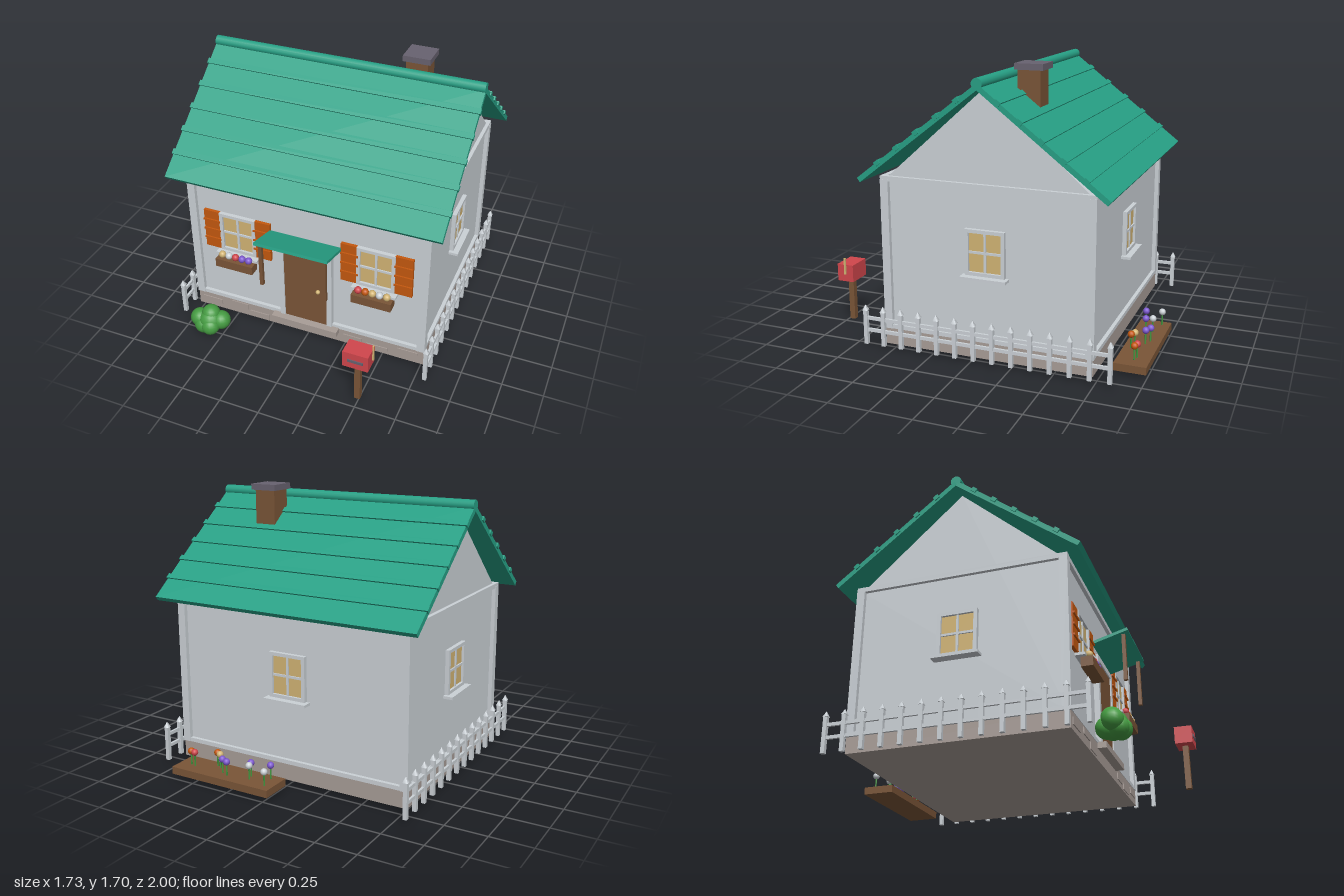
import * as THREE from 'three';

const mat = (name, color) => new THREE.MeshStandardMaterial({ name, color });

export function createModel() {
  const white = mat('white', 0xcbd1d6), teal = mat('teal', 0x27a085), brown = mat('brown', 0x7a5537),
    orange = mat('orange', 0xc4580f), tan = mat('tan', 0xd2b474), red = mat('red', 0xd0464c),
    purple = mat('purple', 0x7d58d0), green = mat('green', 0x459c42), stone = mat('stone', 0xa89d97),
    slate = mat('slate', 0x686270);

  const house = new THREE.Group();
  house.name = 'cottage';
  const MID = -0.09; // z of the ridge and of the house's middle

  const add = (parent, name, geo, m, x = 0, y = 0, z = 0) => {
    const mesh = new THREE.Mesh(geo, m);
    mesh.name = name;
    mesh.position.set(x, y, z);
    parent.add(mesh);
    return mesh;
  };
  const box = (parent, name, m, w, h, d, x, y, z) =>
    add(parent, name, new THREE.BoxGeometry(w, h, d), m, x, y, z);
  const group = (parent, name, x = 0, y = 0, z = 0) => {
    const g = new THREE.Group();
    g.name = name;
    g.position.set(x, y, z);
    parent.add(g);
    return g;
  };

  // Foundation, front stones and doorstep
  box(house, 'foundation', stone, 1.54, 0.105, 1.28, 0, 0.0825, MID);
  for (const [x, y, w] of [[-0.67, 0.08, 0.14], [-0.47, 0.1, 0.12], [-0.33, 0.06, 0.13],
    [0.31, 0.08, 0.12], [0.47, 0.06, 0.14], [0.67, 0.09, 0.13]])
    box(house, 'foundationStone', stone, w, 0.04, 0.012, x, y, 0.55);
  box(house, 'doorstep', stone, 0.44, 0.037, 0.07, 0, 0.119, 0.567);

  // Walls with gables, extruded along x
  const profile = new THREE.Shape([[-0.62, 0.13], [0.62, 0.13], [0.62, 1.04], [0, 1.59], [-0.62, 1.04]]
    .map(([a, b]) => new THREE.Vector2(a, b)));
  const wallGeo = new THREE.ExtrudeGeometry(profile, { depth: 1.5, bevelEnabled: false });
  wallGeo.translate(0, 0, -0.75).rotateY(Math.PI / 2);
  add(house, 'walls', wallGeo, white, 0, 0, MID);

  // Corner posts and horizontal trim
  for (const s of [-1, 1]) {
    for (const t of [-1, 1])
      box(house, 'cornerPost', white, 0.05, 0.91, 0.05, s * 0.75, 0.585, MID + t * 0.62);
    for (const [y, h] of [[0.143, 0.025], [1.045, 0.03]]) {
      box(house, 'sideTrim', white, 0.035, h, 1.29, s * 0.755, y, MID);
      box(house, 'longTrim', white, 1.5, h, 0.035, 0, y, MID + s * 0.625);
    }
  }

  // Roof: two slabs with raised shingle courses, and a ridge cap
  const slope = Math.atan2(0.565, 0.735), length = 0.927;
  for (const s of [-1, 1]) {
    const side = group(house, s > 0 ? 'frontRoof' : 'backRoof', 0, 1.61, MID);
    side.rotation.y = s > 0 ? 0 : Math.PI;
    const tilt = group(side, 'roofSlope');
    tilt.rotation.x = slope;
    box(tilt, 'roofSlab', teal, 1.715, 0.03, length, 0, 0, length / 2);
    for (let i = 0; i < 5; i++)
      box(tilt, 'shingleCourse', teal, 1.73, 0.026, 0.034, 0, 0.011, 0.142 + i * 0.155);
  }
  const ridge = add(house, 'ridgeCap', new THREE.CylinderGeometry(0.032, 0.032, 1.715, 16), teal, 0, 1.625, MID);
  ridge.rotation.z = Math.PI / 2;

  // Chimney
  box(house, 'chimney', brown, 0.135, 0.37, 0.135, 0.415, 1.48, -0.245);
  box(house, 'chimneyCap', slate, 0.17, 0.036, 0.17, 0.415, 1.682, -0.248);

  // Windows, built facing +z with the wall at z = 0
  const addWindow = (x, z, turn) => {
    const w = group(house, 'window', x, 0.665, z);
    w.rotation.y = turn;
    box(w, 'glass', tan, 0.2, 0.24, 0.009, 0, 0, 0.0055);
    const frame = new THREE.Shape([[-0.12, -0.135], [0.12, -0.135], [0.12, 0.135], [-0.12, 0.135]]
      .map(([a, b]) => new THREE.Vector2(a, b)));
    frame.holes.push(new THREE.Path([[-0.098, -0.115], [-0.098, 0.115], [0.098, 0.115], [0.098, -0.115]]
      .map(([a, b]) => new THREE.Vector2(a, b))));
    add(w, 'windowFrame', new THREE.ExtrudeGeometry(frame, { depth: 0.025, bevelEnabled: false }), white);
    box(w, 'mullion', white, 0.014, 0.23, 0.018, 0, 0, 0.009);
    box(w, 'crossbar', white, 0.2, 0.014, 0.018, 0, 0, 0.009);
    box(w, 'sill', white, 0.28, 0.016, 0.06, 0, -0.145, 0.03);
  };
  addWindow(0, MID - 0.62, Math.PI);
  for (const s of [-1, 1]) {
    addWindow(s * 0.45, MID + 0.62, 0);
    addWindow(s * 0.75, MID, s * Math.PI / 2);
  }

  // Shutters and window boxes
  const flower = (parent, m, x, y, z, r, stem) => {
    add(parent, 'bloom', new THREE.SphereGeometry(r, 12, 8), m, x, y, z);
    add(parent, 'stem', new THREE.CylinderGeometry(0.005, 0.005, stem, 6), green, x, y - stem / 2, z);
  };
  const planting = { '-1': [tan, white, red, purple, purple], '1': [red, orange, tan, white, tan] };
  for (const s of [-1, 1]) {
    for (const t of [-1, 1]) {
      const x = s * 0.453 + t * 0.168;
      box(house, 'shutter', orange, 0.11, 0.27, 0.02, x, 0.665, 0.54);
      for (const y of [0.6, 0.667, 0.735])
        box(house, 'shutterSlat', orange, 0.112, 0.012, 0.012, x, y, 0.554);
    }
    const wb = group(house, 'windowBox', s * 0.45, 0, 0.595);
    box(wb, 'planter', brown, 0.25, 0.057, 0.07, 0, 0.477, 0);
    planting[s].forEach((m, i) => flower(wb, m, (i - 2) * 0.045, 0.528, 0.005, 0.023, 0.04));
  }

  // Door, door frame and knob
  box(house, 'door', brown, 0.285, 0.535, 0.03, 0, 0.402, 0.54);
  for (const s of [-1, 1])
    box(house, 'doorJamb', white, 0.033, 0.565, 0.035, s * 0.158, 0.417, 0.545);
  box(house, 'doorLintel', white, 0.35, 0.032, 0.035, 0, 0.685, 0.545);
  add(house, 'doorKnob', new THREE.SphereGeometry(0.014, 12, 8), tan, 0.086, 0.394, 0.565);

  // Awning and its hanging posts
  const awning = box(house, 'awning', teal, 0.465, 0.018, 0.225, 0, 0.779, 0.65);
  awning.rotation.x = -0.27;
  for (const s of [-1, 1])
    box(house, 'awningPost', brown, 0.022, 0.29, 0.022, s * 0.203, 0.642, 0.728);

  // Picket fences along both sides
  for (const s of [-1, 1]) {
    const fence = group(house, s > 0 ? 'leftFence' : 'rightFence', s * 0.815, 0, MID);
    for (const y of [0.12, 0.195]) box(fence, 'fenceRail', white, 0.014, 0.02, 1.5, 0, y, 0);
    for (let i = 0; i < 14; i++) {
      const z = (i - 6.5) * 0.1153;
      box(fence, 'picket', white, 0.024, 0.215, 0.024, 0, 0.1375, z);
      const tip = add(fence, 'picketTip', new THREE.ConeGeometry(0.022, 0.035, 4), white, 0, 0.26, z);
      tip.rotation.y = Math.PI / 4;
    }
  }

  // Mailbox
  const mail = group(house, 'mailbox', 0.498, 0, 0.94);
  box(mail, 'mailboxPost', brown, 0.035, 0.28, 0.035, 0, 0.17, 0);
  box(mail, 'mailboxBody', red, 0.155, 0.108, 0.108, 0, 0.357, 0);
  box(mail, 'mailSlot', slate, 0.095, 0.018, 0.008, 0, 0.356, 0.055);
  box(mail, 'mailFlag', tan, 0.009, 0.105, 0.012, 0.087, 0.405, -0.005);

  // Flower bed behind the house
  const bed = group(house, 'flowerBed');
  box(bed, 'bedSoil', brown, 0.68, 0.045, 0.19, 0.31, 0.055, -0.905);
  for (const [m, x, z] of [[white, 0.02, -0.95], [purple, 0.04, -0.855], [white, 0.145, -0.92],
    [purple, 0.16, -0.88], [purple, 0.29, -0.94], [purple, 0.335, -0.92], [tan, 0.39, -0.87],
    [orange, 0.42, -0.855], [red, 0.54, -0.92], [orange, 0.572, -0.912]])
    flower(bed, m, x, 0.162, z, 0.021, 0.1);

  // Bush made of overlapping balls
  const bush = group(house, 'bush', -0.59, 0, 0.73);
  for (const [x, y, z, r] of [[0, 0.085, 0, 0.078], [-0.07, 0.09, 0.01, 0.06], [0.065, 0.085, -0.02, 0.06],
    [0, 0.125, -0.01, 0.06], [0.015, 0.065, 0.035, 0.06], [-0.02, 0.065, -0.035, 0.06], [-0.035, 0.06, 0.03, 0.058]])
    add(bush, 'leafBall', new THREE.SphereGeometry(r, 16, 12), green, x, y, z);

  return house;
}
